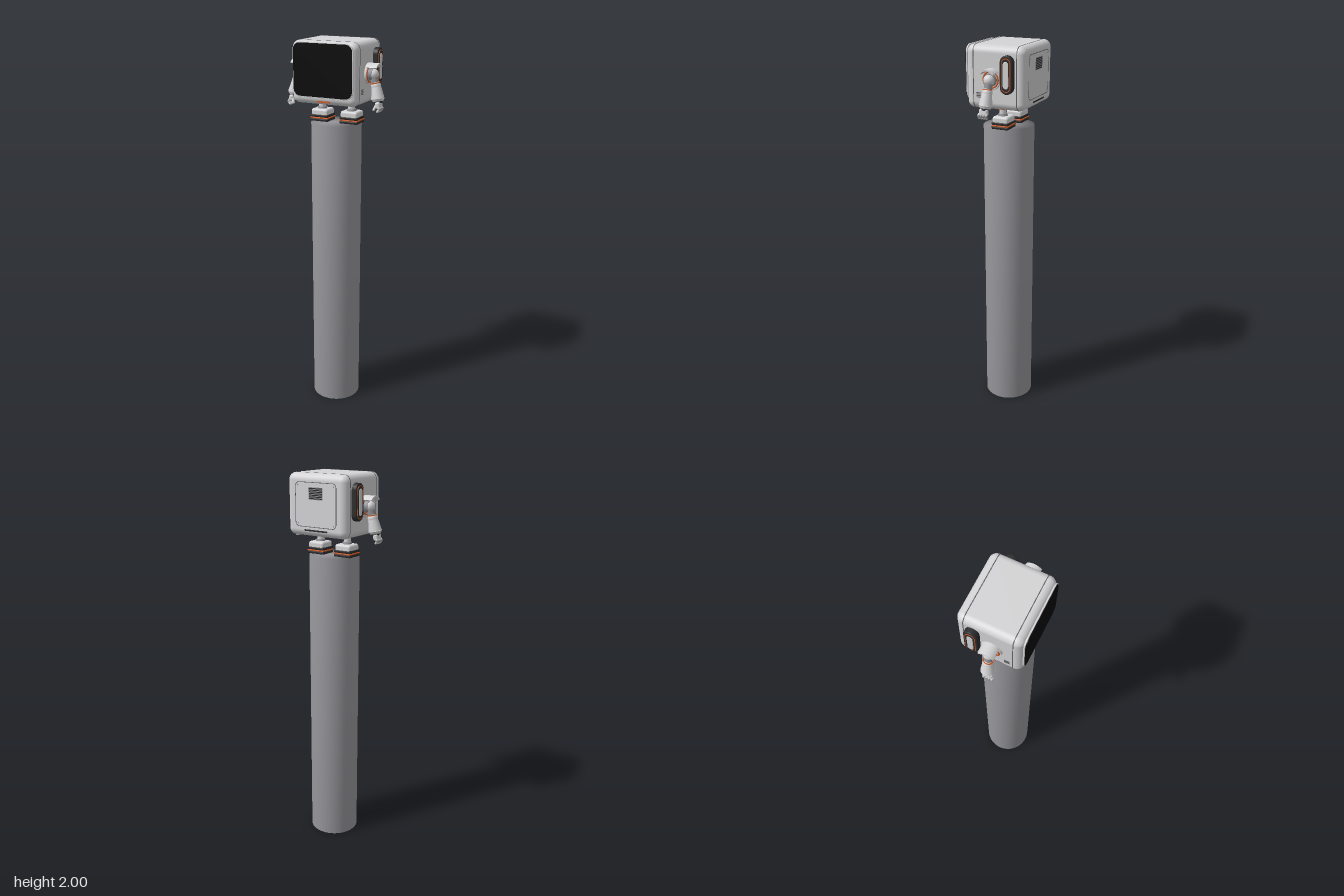
import * as THREE from 'three';
import { mergeVertices } from 'three/addons/utils/BufferGeometryUtils.js';
import { RoundedBoxGeometry } from 'three/addons/geometries/RoundedBoxGeometry.js';

const mat = (name, color) => new THREE.MeshStandardMaterial({ name, color });

// Rounded rectangle outline centred on the origin
function roundRect(w, h, r, target = new THREE.Shape()) {
  const x = w / 2, y = h / 2, q = Math.PI / 2;
  target.moveTo(x, -y + r);
  target.absarc(x - r, y - r, r, 0, q);
  target.absarc(-x + r, y - r, r, q, 2 * q);
  target.absarc(-x + r, -y + r, r, 2 * q, 3 * q);
  target.absarc(x - r, -y + r, r, 3 * q, 4 * q);
  return target;
}

// Rounded plate running from z = 0 to z = depth, with an optional small bevel
function plate(w, h, r, depth, bevel = 0) {
  const b = bevel;
  const g = new THREE.ExtrudeGeometry(roundRect(w - 2 * b, h - 2 * b, r - b), {
    depth: depth - 2 * b, bevelEnabled: b > 0, bevelSize: b, bevelThickness: b,
    bevelSegments: 3, curveSegments: 10,
  });
  return g.translate(0, 0, b);
}

export function createModel() {
  const model = new THREE.Group();
  const white = mat('shell white', 0xd4d3d5);
  const grey = mat('column grey', 0x98979c);
  const metal = mat('joint grey', 0x929196);
  const dark = mat('dark rubber', 0x2c2c2e);
  const black = mat('screen black', 0x080808);
  const orange = mat('orange accent', 0xd05a22);
  const seam = mat('seam grey', 0x606063);

  const add = (name, geo, material, x = 0, y = 0, z = 0, parent = model) => {
    const m = new THREE.Mesh(geo, material);
    m.name = name;
    m.position.set(x, y, z);
    parent.add(m);
    return m;
  };
  // Tapered round bar between two points
  const bar = (name, a, b, r1, r2, material, parent) => {
    const p = new THREE.Vector3(...a), q = new THREE.Vector3(...b), d = q.clone().sub(p);
    const m = add(name, new THREE.CylinderGeometry(r2, r1, d.length(), 24), material, 0, 0, 0, parent);
    m.position.copy(p).add(q).multiplyScalar(0.5);
    m.quaternion.setFromUnitVectors(new THREE.Vector3(0, 1, 0), d.normalize());
    return m;
  };

  // Column, with normals blended over its rims
  let columnGeo = new THREE.CylinderGeometry(0.13, 0.13, 1.587, 64);
  columnGeo.deleteAttribute('normal');
  columnGeo.deleteAttribute('uv');
  columnGeo = mergeVertices(columnGeo);
  columnGeo.computeVertexNormals();
  add('column', columnGeo, grey, 0, 0.7935, 0);

  // Boxy body with seam lines behind the front and back caps
  const midY = 1.847;
  add('body', new RoundedBoxGeometry(0.356, 0.306, 0.31, 6, 0.036), white, 0, midY, -0.005);
  for (const z of [0.106, -0.123]) {
    add('bodySeam', plate(0.3575, 0.3075, 0.037, 0.004), seam, 0, midY, z);
  }

  // Screen
  add('screenBezel', plate(0.326, 0.266, 0.04, 0.008, 0.002), white, 0, 1.863, 0.147);
  add('screen', plate(0.318, 0.257, 0.036, 0.004), black, 0, 1.863, 0.154);
  add('chinLight', plate(0.07, 0.008, 0.004, 0.008), orange, 0, 1.711, 0.141);

  // Back hatch, vent and lower slot
  const back = new THREE.Group();
  back.name = 'backPanel';
  back.rotation.y = Math.PI;
  back.position.set(0, 0, -0.1595);
  model.add(back);
  const rim = roundRect(0.248, 0.218, 0.022);
  rim.holes.push(roundRect(0.242, 0.212, 0.02, new THREE.Path()));
  add('hatchSeam', new THREE.ExtrudeGeometry(rim, { depth: 0.001, bevelEnabled: false }), seam, 0, 1.85, 0, back);
  add('ventPlate', plate(0.084, 0.06, 0.003, 0.001), metal, 0, 1.905, 0, back);
  for (let i = 0; i < 7; i++) {
    add('ventSlot', new THREE.BoxGeometry(0.078, 0.0045, 0.002), dark, 0, 1.881 + i * 0.008, 0.001, back);
  }
  add('lowerSlot', plate(0.14, 0.008, 0.003, 0.001), dark, 0, 1.725, 0, back);
  add('backLatch', plate(0.022, 0.008, 0.003, 0.002), white, 0, 1.952, 0, back);
  for (const sx of [-1, 1]) for (const sy of [-1, 1]) {
    add('hatchScrew', new THREE.CircleGeometry(0.004, 12), metal, sx * 0.108, 1.85 + sy * 0.093, 0.0006, back);
  }

  for (const s of [1, -1]) {
    const side = s > 0 ? 'left' : 'right';
    const out = (m) => { m.rotation.y = s * Math.PI / 2; return m; };
    const group = (name) => {
      const g = new THREE.Group();
      g.name = side + name;
      model.add(g);
      return g;
    };

    // Side pod: dark pill, orange rim, pale core
    const pod = group('Pod');
    out(add('podCase', plate(0.066, 0.182, 0.033, 0.03, 0.005), dark, s * 0.175, 1.87, -0.077, pod));
    out(add('podRim', plate(0.048, 0.16, 0.024, 0.03), orange, s * 0.177, 1.87, -0.077, pod));
    out(add('podInset', plate(0.042, 0.152, 0.021, 0.03), dark, s * 0.178, 1.87, -0.077, pod));
    out(add('podCore', plate(0.03, 0.13, 0.015, 0.032, 0.004), white, s * 0.178, 1.87, -0.077, pod));
    // Small side vent
    for (let i = 0; i < 4; i++) {
      add('sideVent', new THREE.BoxGeometry(0.003, 0.004, 0.026), seam, s * 0.178, 1.752 + i * 0.007, 0.08, pod);
    }

    // Shoulder with curved guard
    const arm = group('Arm'), sy = 1.842, sz = 0.01;
    bar('shoulderBase', [s * 0.172, sy, sz], [s * 0.188, sy, sz], 0.052, 0.048, white, arm);
    out(add('shoulderRing', new THREE.TorusGeometry(0.039, 0.004, 10, 36), orange, s * 0.188, sy, sz, arm));
    bar('shoulderJoint', [s * 0.18, sy, sz], [s * 0.208, sy, sz], 0.034, 0.03, metal, arm);
    add('shoulderBall', new THREE.SphereGeometry(0.027, 24, 16), white, s * 0.206, sy, sz, arm);
    const guard = new THREE.Shape();
    guard.absarc(0, 0, 0.046, 0.62, Math.PI - 0.62, false);
    guard.absarc(0, 0, 0.039, Math.PI - 0.62, 0.62, true);
    out(add('shoulderGuard', new THREE.ExtrudeGeometry(guard, { depth: 0.063, bevelEnabled: false, curveSegments: 20 }),
      white, s * 0.175, 1.85, sz, arm));

    // Upper arm, elbow and flared forearm
    bar('upperArm', [s * 0.206, sy, sz], [s * 0.221, 1.782, 0.012], 0.021, 0.018, metal, arm);
    add('elbow', new THREE.SphereGeometry(0.025, 24, 16), white, s * 0.222, 1.786, 0.012, arm);
    bar('elbowRing', [s * 0.217, 1.802, 0.012], [s * 0.218, 1.797, 0.012], 0.0235, 0.0235, orange, arm);
    bar('forearm', [s * 0.223, 1.784, 0.012], [s * 0.235, 1.725, 0.016], 0.024, 0.033, white, arm);
    bar('cuff', [s * 0.235, 1.725, 0.016], [s * 0.237, 1.713, 0.017], 0.033, 0.027, white, arm);
    bar('wrist', [s * 0.236, 1.716, 0.017], [s * 0.239, 1.702, 0.019], 0.018, 0.018, dark, arm);

    // Hand
    const palm = add('palm', new RoundedBoxGeometry(0.026, 0.034, 0.046, 3, 0.01), white, s * 0.243, 1.695, 0.022, arm);
    palm.rotation.z = s * 0.15;
    for (let i = 0; i < 4; i++) {
      const z = 0.004 + i * 0.013;
      const k = [s * 0.255, 1.678, z], t = [s * 0.246, 1.666, z + 0.002];
      bar('finger', [s * 0.248, 1.69, z], k, 0.0065, 0.0065, white, arm);
      add('knuckle', new THREE.SphereGeometry(0.0075, 12, 8), metal, ...k, arm);
      bar('fingertip', k, t, 0.0065, 0.006, white, arm);
      add('fingerEnd', new THREE.SphereGeometry(0.006, 12, 8), white, ...t, arm);
    }
    bar('thumb', [s * 0.235, 1.695, 0.034], [s * 0.226, 1.674, 0.046], 0.008, 0.006, white, arm);
    add('thumbEnd', new THREE.SphereGeometry(0.006, 12, 8), white, s * 0.226, 1.674, 0.046, arm);

    // Leg and foot
    const leg = group('Leg'), lx = s * 0.083;
    bar('hipRing', [lx, 1.685, -0.005], [lx, 1.697, -0.005], 0.028, 0.034, metal, leg);
    bar('hipTrim', [lx, 1.682, -0.005], [lx, 1.686, -0.005], 0.024, 0.024, orange, leg);
    bar('shin', [lx, 1.64, -0.005], [lx, 1.69, -0.005], 0.018, 0.018, white, leg);
    bar('ankle', [lx, 1.645, -0.005], [lx, 1.66, -0.005], 0.026, 0.022, metal, leg);
    add('shoe', new RoundedBoxGeometry(0.094, 0.046, 0.086, 4, 0.012), white, lx, 1.627, -0.009, leg);
    add('shoeBand', new RoundedBoxGeometry(0.1, 0.016, 0.09, 3, 0.006), dark, lx, 1.615, -0.009, leg);
    add('soleTrim', new RoundedBoxGeometry(0.102, 0.007, 0.092, 2, 0.003), orange, lx, 1.604, -0.009, leg);
    add('sole', new RoundedBoxGeometry(0.1, 0.014, 0.09, 3, 0.005), dark, lx, 1.594, -0.009, leg);
  }
  return model;
}
